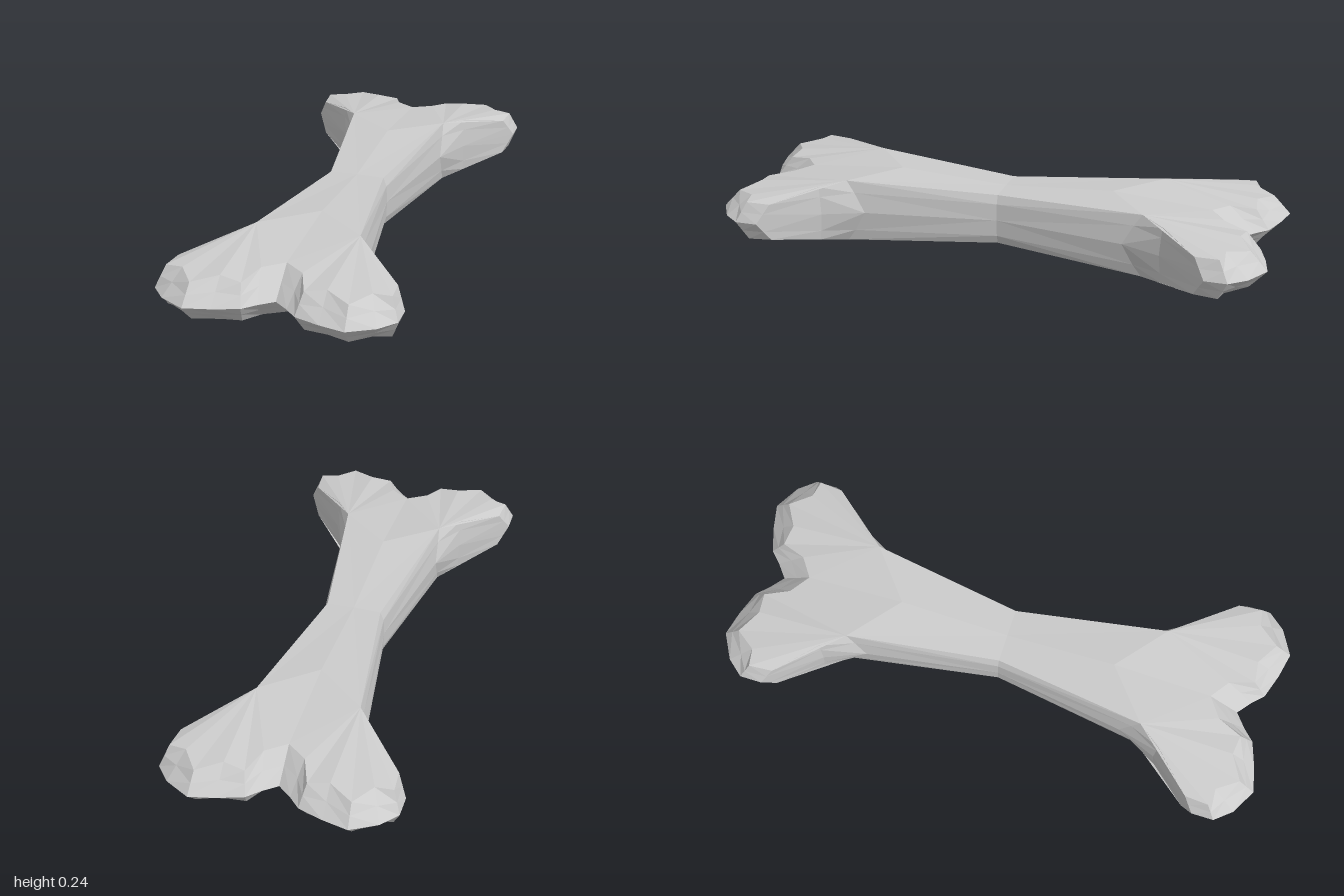
import * as THREE from 'three';

const MID = 0.119; // height of the horizontal seam

// Outline of one quarter, from the waist round the knuckle to the notch:
// seam x, seam z, top edge x, top edge z, top edge y
const OUTLINE = [
  [0.115, 0, 0.10, 0, 0.212],
  [0.19, 0.48, 0.183, 0.55, 0.235],
  [0.25, 0.625, 0.245, 0.635, 0.222],
  [0.41, 0.81, 0.375, 0.77, 0.187],
  [0.41, 0.89, 0.382, 0.855, 0.19],
  [0.36, 0.95, 0.32, 0.865, 0.195],
  [0.27, 1.0, 0.265, 0.94, 0.184],
  [0.18, 0.98, 0.18, 0.89, 0.198],
  [0.09, 0.95, 0.105, 0.90, 0.187],
  [0.05, 0.91, 0.07, 0.81, 0.204],
  [0, 0.87, 0, 0.76, 0.208],
];

// Triangles of the upper quarter on +x, +z
function quarterTriangles() {
  const tris = [];
  const quad = (a, b, c, d) => tris.push([a, b, c], [a, c, d]);

  const seam = OUTLINE.map(([x, z]) => [x, MID, z]);
  const top = OUTLINE.map(([, , x, z, y]) => [x, y, z]);
  // the shaft has a steep wall with a shoulder, the knuckles a plain bevel
  const shoulder = seam.map((s, i) => i < 3
    ? [s[0] - 0.003, [0.18, 0.192, 0.185][i], s[2] + [0, 0.04, 0.005][i]]
    : s.map((v, k) => (v + top[i][k]) / 2));

  // side wall
  for (let i = 0; i < OUTLINE.length - 1; i++) {
    quad(seam[i], shoulder[i], shoulder[i + 1], seam[i + 1]);
    quad(shoulder[i], top[i], top[i + 1], shoulder[i + 1]);
  }

  // upper face: shaft, wedge towards the notch, knuckle fan
  const waist = [0, 0.214, 0], crest = [0, 0.238, 0.4];
  const neck = top[1], notch = top[top.length - 1];
  quad(waist, crest, neck, top[0]);
  tris.push([crest, notch, neck]);
  for (let i = 2; i < top.length - 1; i++) tris.push([neck, top[i + 1], top[i]]);
  return tris;
}

export function createModel() {
  const group = new THREE.Group();
  group.name = 'bone';

  // mirror the quarter across all three axes, reversing corners where needed
  const positions = [];
  const tris = quarterTriangles();
  for (const sx of [1, -1]) for (const sy of [1, -1]) for (const sz of [1, -1]) {
    for (const [a, b, c] of tris) {
      const corners = sx * sy * sz > 0 ? [a, b, c] : [a, c, b];
      for (const [x, y, z] of corners) positions.push(x * sx, MID + (y - MID) * sy, z * sz);
    }
  }

  const geometry = new THREE.BufferGeometry();
  geometry.setAttribute('position', new THREE.Float32BufferAttribute(positions, 3));
  geometry.computeVertexNormals();

  const material = new THREE.MeshStandardMaterial({ color: 0xcccccc, flatShading: true });
  const body = new THREE.Mesh(geometry, material);
  body.name = 'boneBody';
  group.add(body);
  return group;
}
